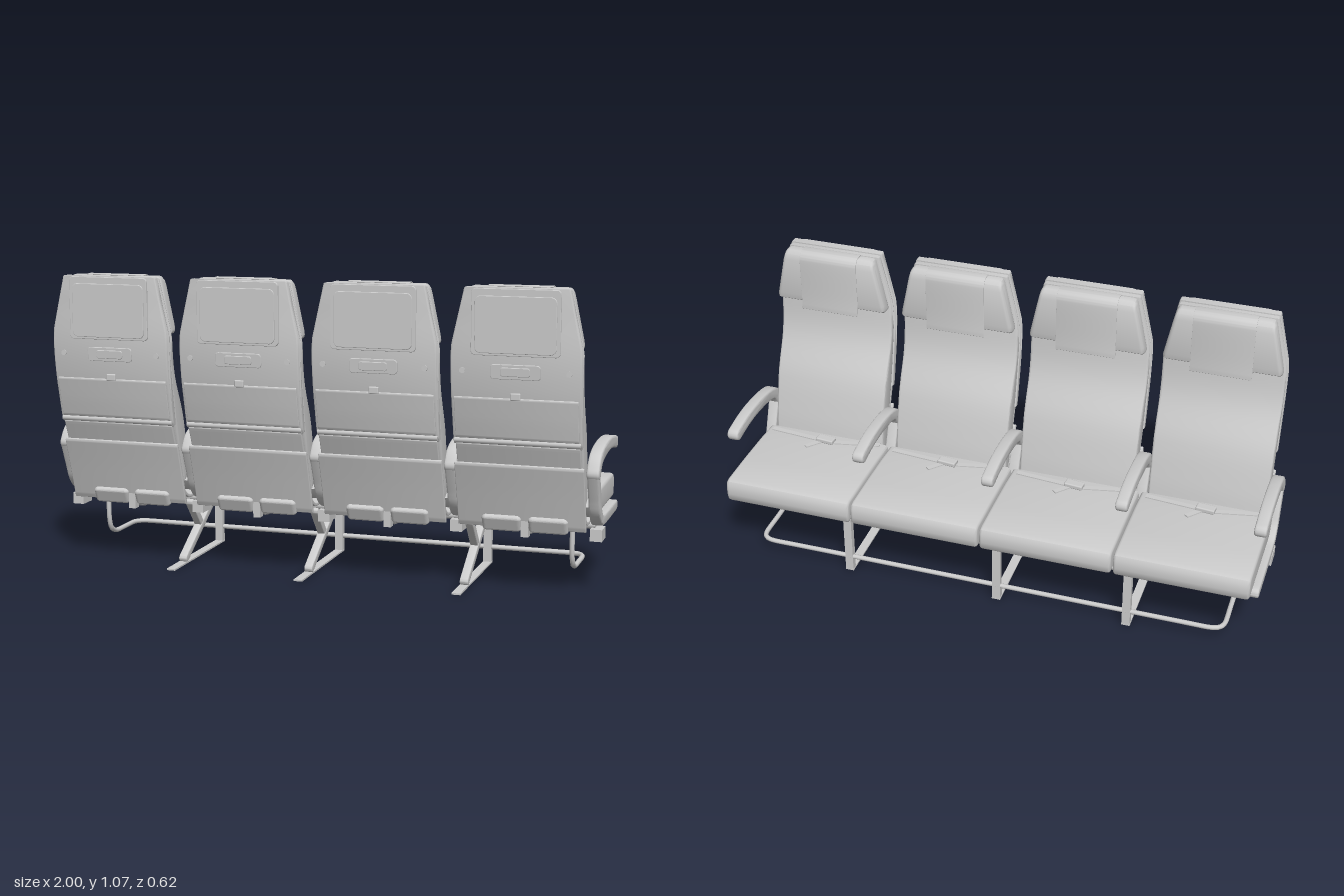
import * as THREE from 'three';
import { toCreasedNormals } from 'three/addons/utils/BufferGeometryUtils.js';
import { RoundedBoxGeometry } from 'three/addons/geometries/RoundedBoxGeometry.js';

const material = new THREE.MeshStandardMaterial({ color: 0xcccccc, side: THREE.DoubleSide });
const v2 = ([a, b]) => new THREE.Vector2(a, b);
const v3 = (p) => new THREE.Vector3(...p);
const spline = (pts, n = 16) => new THREE.SplineCurve(pts.map(v2)).getPoints(n);

function add(parent, name, geometry, x = 0, y = 0, z = 0) {
  const mesh = new THREE.Mesh(geometry, material);
  mesh.name = name;
  mesh.position.set(x, y, z);
  parent.add(mesh);
  return mesh;
}

// Side outline given as (z, y), extruded across x and centred on x = 0
function sideExtrude(outline, width, bevel = 0.004) {
  const geo = new THREE.ExtrudeGeometry(new THREE.Shape(outline), {
    depth: width - 2 * bevel, bevelEnabled: true, bevelThickness: bevel,
    bevelSize: bevel, bevelOffset: -bevel, bevelSegments: 3,
  });
  geo.translate(0, 0, bevel - width / 2);
  geo.rotateY(-Math.PI / 2);
  return toCreasedNormals(geo, 0.7);
}

// Band of constant thickness with round ends along a (z, y) centre line
function band(pts, half, n = 24) {
  const curve = new THREE.SplineCurve(pts.map(v2));
  const left = [], right = [];
  for (let i = 0; i <= n; i++) {
    const p = curve.getPoint(i / n), t = curve.getTangent(i / n);
    left.push(new THREE.Vector2(p.x - t.y * half, p.y + t.x * half));
    right.push(new THREE.Vector2(p.x + t.y * half, p.y - t.x * half));
  }
  const cap = (u, sign) => {
    const p = curve.getPoint(u), t = curve.getTangent(u), out = [];
    for (let i = 1; i < 8; i++) {
      const a = Math.atan2(t.y, t.x) + sign * Math.PI / 2 - i * Math.PI / 8;
      out.push(new THREE.Vector2(p.x + half * Math.cos(a), p.y + half * Math.sin(a)));
    }
    return out;
  };
  return [...left, ...cap(1, 1), ...right.reverse(), ...cap(0, -1)];
}

// Backs narrow towards the top and very slightly towards the bottom
function taper(geo) {
  const p = geo.attributes.position;
  for (let i = 0; i < p.count; i++) {
    const y = p.getY(i);
    const s = y > 0.86 ? 1 - 0.2 * (y - 0.86) / 0.203 : 1 - 0.03 * Math.max(0, 0.86 - y);
    p.setX(i, p.getX(i) * s);
  }
  return toCreasedNormals(geo, 0.7);
}

function roundedPlate(w, h, r, depth) {
  const s = new THREE.Shape(), x = w / 2, y = h / 2;
  s.moveTo(-x + r, -y);
  s.absarc(x - r, -y + r, r, -Math.PI / 2, 0);
  s.absarc(x - r, y - r, r, 0, Math.PI / 2);
  s.absarc(-x + r, y - r, r, Math.PI / 2, Math.PI);
  s.absarc(-x + r, -y + r, r, Math.PI, Math.PI * 1.5);
  return new THREE.ExtrudeGeometry(s, {
    depth, bevelThickness: 0.002, bevelSize: 0.002, bevelOffset: -0.002, bevelSegments: 2,
  });
}

function tube(pts, r, tension = 0.5) {
  const curve = new THREE.CatmullRomCurve3(pts.map(v3), false, 'catmullrom', tension);
  return new THREE.TubeGeometry(curve, pts.length * 8, r, 10);
}

function makeSeat() {
  const seat = new THREE.Group();

  // Bottom cushion and the pan beneath it
  add(seat, 'seatCushion', sideExtrude([
    [-0.30, 0.266], [-0.308, 0.275], [-0.312, 0.3], [-0.311, 0.335], [-0.303, 0.349], [-0.285, 0.355],
    [-0.15, 0.356], [0, 0.353], [0.10, 0.347], [0.12, 0.31], [0.10, 0.28], [0.07, 0.266]].map(v2), 0.482, 0.012));
  add(seat, 'seatPan', sideExtrude(band([[0.15, 0.275], [0.11, 0.252], [0.03, 0.25], [-0.26, 0.262]], 0.006), 0.44, 0.002));

  // Backrest cushion, rear shell and lower rear panel
  const front = [[0.10, 0.335], [0.115, 0.42], [0.152, 0.565], [0.22, 0.714], [0.242, 0.855], [0.248, 1.06]];
  const seam = [[0.268, 1.06], [0.272, 0.84], [0.255, 0.714], [0.222, 0.56], [0.19, 0.45], [0.145, 0.31]];
  add(seat, 'backCushion', taper(sideExtrude([...spline(front, 24), ...spline(seam, 24)], 0.44, 0.008)));
  const shellFront = [[0.222, 0.535], [0.255, 0.714], [0.272, 0.84], [0.269, 1.064]];
  const shellBack = [[0.297, 1.064], [0.299, 0.84], [0.288, 0.714], [0.268, 0.62], [0.25, 0.545], [0.24, 0.528]];
  add(seat, 'backShell', taper(sideExtrude([...spline(shellFront, 20), ...spline(shellBack, 24)], 0.444, 0.006)));
  add(seat, 'lowerBackPanel', sideExtrude(band([[0.216, 0.455], [0.185, 0.36], [0.146, 0.235]], 0.007), 0.445, 0.003));
  add(seat, 'middleBackPanel', sideExtrude(band([[0.237, 0.53], [0.205, 0.45]], 0.008), 0.425, 0.003));

  // Head cushion with a cloth cover hanging over its front
  add(seat, 'headrest', taper(sideExtrude([
    [0.242, 0.87], [0.235, 0.859], [0.205, 0.859], [0.192, 0.868], [0.187, 0.89], [0.187, 1.03],
    [0.193, 1.052], [0.208, 1.064], [0.235, 1.064], [0.242, 1.055]].map(v2), 0.432, 0.016)));
  add(seat, 'headCover', sideExtrude(band(
    [[0.24, 1.065], [0.207, 1.066], [0.189, 1.052], [0.184, 1.02], [0.184, 0.9], [0.182, 0.84]], 0.0015), 0.22, 0.0005));

  // Screen, handle recess and folded table on the rear
  add(seat, 'screenFrame', roundedPlate(0.30, 0.222, 0.015, 0.006), 0, 0.951, 0.298);
  add(seat, 'screen', roundedPlate(0.275, 0.19, 0.02, 0.005), 0, 0.943, 0.303);
  add(seat, 'handle', roundedPlate(0.17, 0.05, 0.012, 0.006), 0, 0.787, 0.293).rotation.x = 0.07;
  add(seat, 'handleInset', roundedPlate(0.10, 0.03, 0.008, 0.004), 0, 0.787, 0.299).rotation.x = 0.07;
  add(seat, 'foldedTable', sideExtrude(band([[0.286, 0.693], [0.27, 0.62], [0.254, 0.556]], 0.004), 0.42, 0.002));
  add(seat, 'tableLatch', new RoundedBoxGeometry(0.035, 0.025, 0.012, 2, 0.004), 0, 0.703, 0.289);
  add(seat, 'tableHinge', new THREE.CylinderGeometry(0.011, 0.011, 0.43, 12).rotateZ(Math.PI / 2), 0, 0.543, 0.245);
  for (const s of [-1, 1]) {
    add(seat, 'rearButton', new THREE.CylinderGeometry(0.01, 0.01, 0.008, 12).rotateX(Math.PI / 2), s * 0.18, 0.787, 0.296);
  }

  // Lap belt lying on the cushion
  const belt = (a, b) => {
    const strap = add(seat, 'beltStrap', new THREE.BoxGeometry(Math.hypot(b[0] - a[0], b[1] - a[1]), 0.004, 0.02),
      (a[0] + b[0]) / 2, 0.357, (a[1] + b[1]) / 2);
    strap.rotation.y = -Math.atan2(b[1] - a[1], b[0] - a[0]);
  };
  belt([-0.215, 0.08], [-0.03, 0.042]);
  belt([0.215, 0.065], [0, 0.045]);
  belt([0, 0.045], [0.05, -0.012]);
  add(seat, 'beltBuckle', new RoundedBoxGeometry(0.07, 0.018, 0.035, 2, 0.005), -0.01, 0.363, 0.045).rotation.y = -0.1;

  // Twin pads low at the rear, carried on a bent arm
  for (const s of [-1, 1]) {
    const geo = new RoundedBoxGeometry(0.138, 0.078, 0.03, 4, 0.014);
    const p = geo.attributes.position;
    for (let i = 0; i < p.count; i++) {
      const u = p.getX(i) / 0.069;
      p.setY(i, p.getY(i) * (1 - 0.3 * u * u));
    }
    geo.computeVertexNormals();
    add(seat, 'footPad', geo, 0.012 + s * 0.081, 0.246, 0.152).rotation.x = 0.43;
  }
  add(seat, 'footPadArm', tube([[0.012, 0.26, 0.15], [0.012, 0.215, 0.115], [0.012, 0.197, 0.06],
    [0.012, 0.197, 0], [0.012, 0.21, -0.04], [0.012, 0.245, -0.08]], 0.008));
  add(seat, 'footPadBracket', new THREE.BoxGeometry(0.026, 0.07, 0.03), 0.012, 0.235, 0.145);
  return seat;
}

export function createModel() {
  const model = new THREE.Group();
  model.name = 'seatRow';

  for (let i = 0; i < 4; i++) {
    const seat = makeSeat();
    seat.name = 'seat';
    seat.position.x = -0.734 + i * 0.489;
    model.add(seat);
  }

  // Armrests, their side rails and mounting blocks
  const armGeo = sideExtrude(band([[-0.192, 0.487], [-0.12, 0.499], [-0.04, 0.503], [0.06, 0.495], [0.13, 0.475], [0.163, 0.435]], 0.022), 0.044, 0.008);
  const railGeo = sideExtrude(band([[0.165, 0.435], [0.13, 0.35], [0.105, 0.295], [0.06, 0.257], [-0.02, 0.25], [-0.23, 0.25]], 0.019, 36), 0.04, 0.006);
  for (const x of [-0.978, -0.492, -0.003, 0.486, 0.978]) {
    add(model, 'armrest', armGeo, x);
    add(model, 'sideRail', railGeo, x);
    add(model, 'mountingBlock', new THREE.BoxGeometry(0.042, 0.042, 0.07), x, 0.206, 0.052);
  }

  // Cross beams under the seats
  for (const [y, z] of [[0.235, 0.045], [0.243, -0.225]]) {
    add(model, 'crossBeam', new THREE.CylinderGeometry(0.015, 0.015, 1.94, 14).rotateZ(Math.PI / 2), 0, y, z);
  }

  // Legs with a diagonal brace, short strut and floor strip
  const braceGeo = sideExtrude(band([[0.122, 0.018], [-0.225, 0.232]], 0.013), 0.03, 0.003);
  const strutGeo = sideExtrude(band([[0.055, 0.215], [-0.03, 0.115]], 0.013), 0.028, 0.003);
  for (const x of [-0.535, -0.047, 0.528]) {
    add(model, 'frontLeg', new THREE.BoxGeometry(0.03, 0.23, 0.023), x, 0.119, -0.232);
    add(model, 'diagonalBrace', braceGeo, x);
    add(model, 'braceStrut', strutGeo, x);
    add(model, 'floorStrip', new THREE.BoxGeometry(0.032, 0.006, 0.488), x, 0.003, 0);
  }

  // Bent luggage bar running along the whole row
  const end = [[0.885, 0.235, 0.02], [0.885, 0.13, 0.018], [0.885, 0.082, 0.002], [0.885, 0.062, -0.04],
    [0.885, 0.06, -0.1], [0.885, 0.06, -0.19], [0.872, 0.06, -0.222], [0.835, 0.06, -0.235]];
  const path = [...end, [0.7, 0.06, -0.235], [0, 0.06, -0.235], [-0.7, 0.06, -0.235],
    ...end.map(([x, y, z]) => [-x, y, z]).reverse()];
  add(model, 'luggageBar', tube(path, 0.009, 0.4));
  return model;
}
